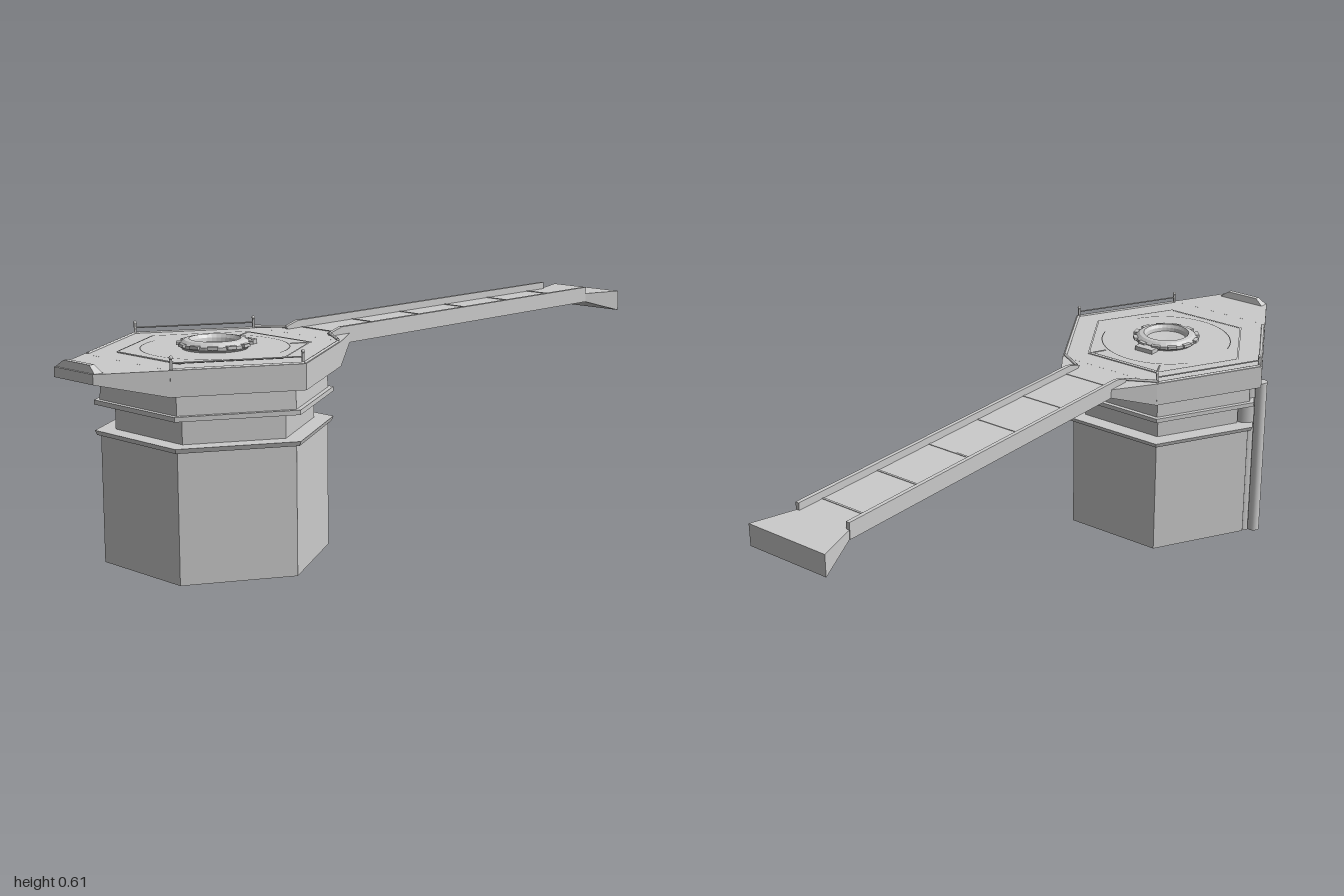
import * as THREE from 'three';
import { ConvexGeometry } from 'three/addons/geometries/ConvexGeometry.js';

const CZ = 0.557; // z of the tower axis
const DECK = 0.575; // height of the deck surface

export function createModel() {
  const model = new THREE.Group();
  const flat = new THREE.MeshStandardMaterial({ color: 0xcccccc, flatShading: true });
  const smooth = new THREE.MeshStandardMaterial({ color: 0xcccccc });

  const add = (name, geometry, x = 0, y = 0, z = 0, material = flat, parent = model) => {
    const mesh = new THREE.Mesh(geometry, material);
    mesh.name = name;
    mesh.position.set(x, y, z);
    parent.add(mesh);
    return mesh;
  };

  // Six-sided prism with corners on the x axis
  const hex = (name, y0, y1, rBottom, rTop = rBottom) => {
    const g = new THREE.CylinderGeometry(rTop, rBottom, y1 - y0, 6).rotateY(Math.PI / 6);
    return add(name, g, 0, (y0 + y1) / 2, CZ);
  };

  // Solid from half its corners, mirrored in x
  const mirroredHull = (name, corners) => {
    const pts = corners.flatMap(([x, y, z]) => [new THREE.Vector3(x, y, z), new THREE.Vector3(-x, y, z)]);
    return add(name, new ConvexGeometry(pts));
  };

  // Round bar between two points
  const bar = (name, a, b, r) => {
    const from = new THREE.Vector3(...a), to = new THREE.Vector3(...b);
    const mesh = add(name, new THREE.CylinderGeometry(r, r, from.distanceTo(to), 8), 0, 0, 0, smooth);
    mesh.position.copy(from).lerp(to, 0.5);
    mesh.quaternion.setFromUnitVectors(new THREE.Vector3(0, 1, 0), to.sub(from).normalize());
    return mesh;
  };

  // Tower, from the foot up
  hex('foot', 0, 0.036, 0.118, 0.114);
  hex('towerBody', 0.036, 0.37, 0.294);
  hex('lowerFlange', 0.368, 0.38, 0.304, 0.309);
  hex('neck', 0.38, 0.446, 0.257);
  hex('upperFlange', 0.446, 0.458, 0.309);
  hex('collar', 0.458, 0.512, 0.295, 0.292);

  // Pipes down one side
  bar('largePipe', [-0.254, 0.025, CZ + 0.045], [-0.254, 0.512, CZ + 0.045], 0.038).geometry =
    new THREE.CylinderGeometry(0.038, 0.038, 0.487, 24);
  bar('smallPipe', [-0.31, 0.036, CZ + 0.035], [-0.31, 0.512, CZ + 0.035], 0.017).geometry =
    new THREE.CylinderGeometry(0.017, 0.017, 0.476, 16);

  // Platform with a tapering nose and a neck to the bridge
  hex('platform', 0.51, DECK, 0.33);
  mirroredHull('nose', [
    [0.165, 0.51, 0.843], [0.165, DECK, 0.843], [0.075, 0.55, 1], [0.075, DECK, 1],
  ]);
  mirroredHull('noseLip', [
    [0.075, DECK, 0.995], [0.075, DECK, 0.97], [0.05, 0.593, 0.99], [0.05, 0.593, 0.976],
  ]);
  mirroredHull('bridgeNeck', [
    [0.165, 0.51, 0.271], [0.165, DECK, 0.271], [0.088, DECK, 0.225],
    [0.088, 0.535, 0.225], [0.088, 0.55, 0.16], [0.088, DECK, 0.16],
  ]);

  // Shallow outlines on the deck
  const outline = (name, r, width, sides, start, length) => {
    const g = new THREE.RingGeometry(r - width, r, sides, 1, start, length).rotateX(-Math.PI / 2);
    add(name, g, 0, DECK + 0.002, CZ);
  };
  outline('deckHexOutline', 0.25, 0.006, 6, 0, Math.PI * 2);
  outline('deckArc', 0.19, 0.003, 24, 0.3, 2.2);
  outline('deckArc', 0.19, 0.003, 24, 3.4, 2.4);
  add('deckSeam', new THREE.BoxGeometry(0.24, 0.003, 0.004), 0, DECK, 0.773);
  bar('markerBar', [-0.12, DECK, 0.335], [0.12, DECK, 0.335], 0.002);
  for (const s of [-1, 1]) bar('markerSide', [s * 0.12, DECK, 0.335], [s * 0.095, DECK, 0.385], 0.002);

  // Round hatch with a hollow centre and lugs
  const hatch = new THREE.Group();
  hatch.name = 'hatch';
  hatch.position.set(0, DECK, CZ);
  model.add(hatch);
  const profile = [[0.084, 0], [0.09, 0.006], [0.09, 0.014], [0.078, 0.023], [0.066, 0.025],
    [0.06, 0.016], [0.058, 0.006], [0, 0.004]].map(([x, y]) => new THREE.Vector2(x, y));
  add('hatchRing', new THREE.LatheGeometry(profile, 32), 0, 0, 0,
    new THREE.MeshStandardMaterial({ color: 0xcccccc, flatShading: true, side: THREE.DoubleSide }), hatch);
  for (let i = 0; i < 12; i++) {
    const a = (i + 0.5) * Math.PI / 6;
    const lug = add('hatchLug', new THREE.BoxGeometry(0.026, 0.008, 0.014),
      Math.sin(a) * 0.09, 0.013, Math.cos(a) * 0.09, flat, hatch);
    lug.rotation.y = a;
  }
  add('hatchHinge', new THREE.BoxGeometry(0.06, 0.012, 0.03), 0, 0.006, -0.102, flat, hatch);

  // Bridge: deck, side kerbs and cross seams
  add('bridgeDeck', new THREE.BoxGeometry(0.17, 0.025, 1.075), 0, 0.5625, -0.3425);
  for (const s of [-1, 1]) {
    const kerb = [];
    for (const [z, top] of [[0.235, 0.582], [0.19, 0.595], [-0.88, 0.595]])
      for (const x of [0.077, 0.088])
        kerb.push(new THREE.Vector3(s * x, top, z), new THREE.Vector3(s * x, 0.55, z > 0.2 ? 0.2 : z));
    add('bridgeKerb', new ConvexGeometry(kerb));
  }
  for (let i = 0; i < 6; i++)
    add('bridgeSeam', new THREE.BoxGeometry(0.154, 0.003, 0.006), 0, DECK, -0.8 + i * 0.195);

  // Flared landing at the far end
  mirroredHull('landing', [
    [0.086, DECK, -0.88], [0.086, 0.55, -0.88], [0.124, DECK, -1], [0.124, 0.515, -1],
  ]);

  // Guard rails on two opposite platform edges, turned half round
  for (const s of [-1, 1]) {
    const a = [s * 0.319, CZ], b = [s * 0.159, CZ + s * 0.278];
    for (const [x, z] of [a, b]) {
      bar('railPost', [x, DECK, z], [x, 0.602, z], 0.0035);
      add('railKnob', new THREE.SphereGeometry(0.005, 10, 8), x, 0.604, z, smooth);
    }
    bar('rail', [a[0], 0.591, a[1]], [b[0], 0.591, b[1]], 0.002);
    // Low edge strips along every long side
    for (const t of [-1, 1])
      bar('edgeStrip', [s * 0.322, DECK, CZ], [s * 0.162, DECK, CZ + t * 0.277], 0.004);
    bar('neckStrip', [s * 0.16, 0.58, 0.277], [s * 0.083, 0.582, 0.23], 0.004);
  }
  return model;
}
